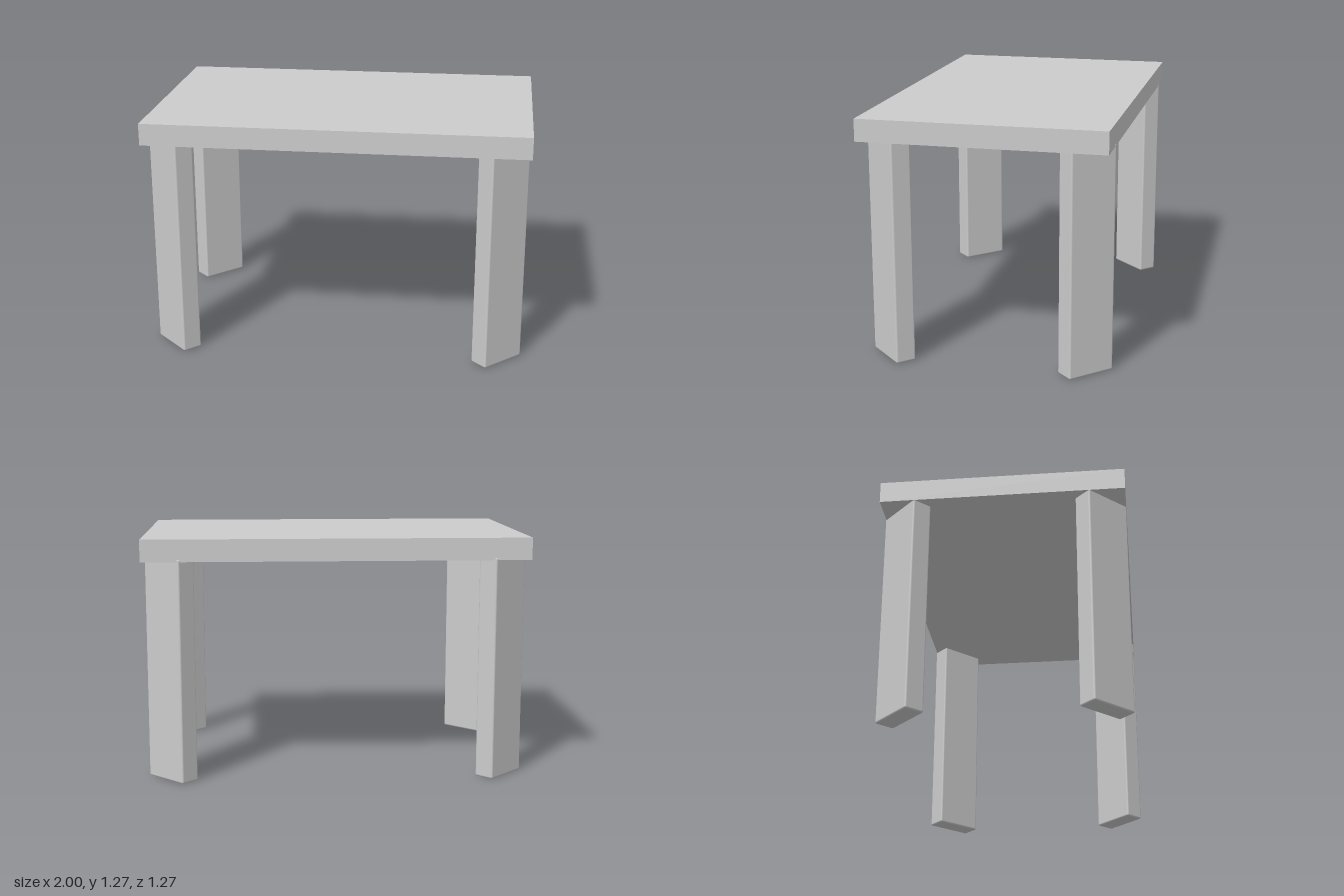
import * as THREE from 'three';
import { RoundedBoxGeometry } from 'three/addons/geometries/RoundedBoxGeometry.js';

export function createModel() {
  const table = new THREE.Group();
  table.name = 'table';
  const material = new THREE.MeshStandardMaterial({ color: 0xcccccc });

  // Sharp-edged slab
  const top = new THREE.Mesh(new THREE.BoxGeometry(2, 0.115, 1.262), material);
  top.name = 'tableTop';
  top.position.set(0, 1.2175, 0.002);
  table.add(top);

  // Flat legs with softened edges, wide faces turned out to the corners
  const legHeight = 1.174;
  const legGeometry = new RoundedBoxGeometry(0.264, legHeight, 0.109, 2, 0.01);
  for (const [xName, sx] of [['Left', 1], ['Right', -1]]) {
    for (const [zName, sz] of [['front', 1], ['back', -1]]) {
      const leg = new THREE.Mesh(legGeometry, material);
      leg.name = `${zName}${xName}Leg`;
      leg.position.set(sx * 0.866 - 0.004, legHeight / 2, sz * 0.505);
      leg.rotation.y = sx * sz * Math.PI / 4;
      table.add(leg);
    }
  }
  return table;
}
